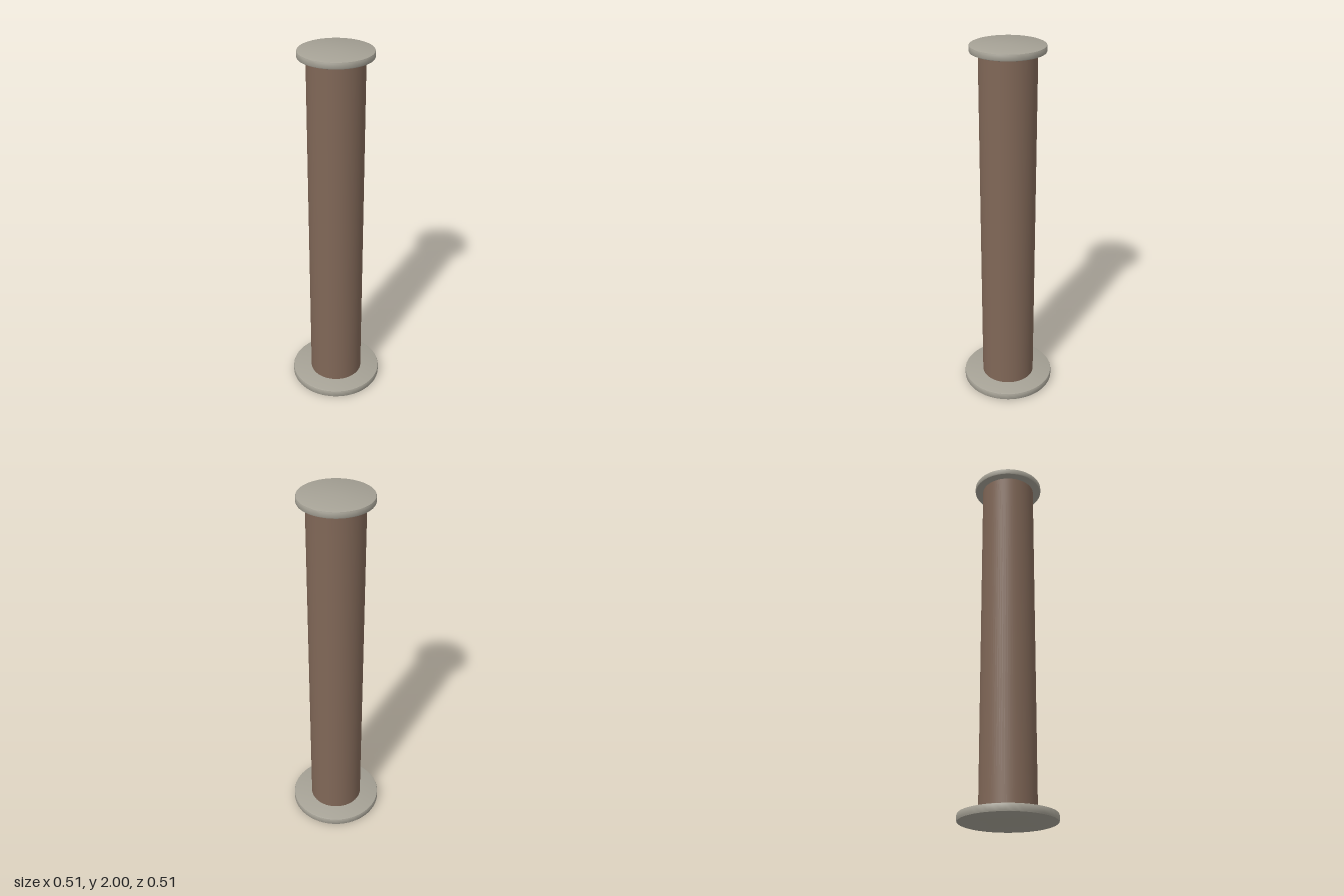
import * as THREE from 'three';
import { toCreasedNormals } from 'three/addons/utils/BufferGeometryUtils.js';

const SEGMENTS = 72;

// Flat disc with a small softened rim, standing from y0 to y1
function disc(name, radius, y0, y1, bevel, material) {
  const profile = [
    [0, y0],
    [radius - bevel, y0],
    [radius - bevel * 0.3, y0 + bevel * 0.3],
    [radius, y0 + bevel],
    [radius, y1 - bevel],
    [radius - bevel * 0.3, y1 - bevel * 0.3],
    [radius - bevel, y1],
    [0, y1],
  ].map(([x, y]) => new THREE.Vector2(x, y));
  const geometry = toCreasedNormals(new THREE.LatheGeometry(profile, SEGMENTS), 0.6);
  const mesh = new THREE.Mesh(geometry, material);
  mesh.name = name;
  return mesh;
}

export function createModel() {
  const stone = new THREE.MeshStandardMaterial({ color: 0xa5a195 });
  stone.name = 'warm grey';
  const brown = new THREE.MeshStandardMaterial({ color: 0x806757 });
  brown.name = 'brown';

  const group = new THREE.Group();
  group.name = 'column';

  // Wide foot and narrower cap
  group.add(disc('basePlate', 0.256, 0, 0.042, 0.007, stone));
  group.add(disc('capPlate', 0.194, 1.964, 2, 0.007, stone));

  // Plain round shaft between the two plates
  const shaft = new THREE.Mesh(
    new THREE.CylinderGeometry(0.149, 0.149, 1.93, SEGMENTS, 1, true),
    brown
  );
  shaft.position.y = 1.003;
  shaft.name = 'shaft';
  group.add(shaft);

  return group;
}
